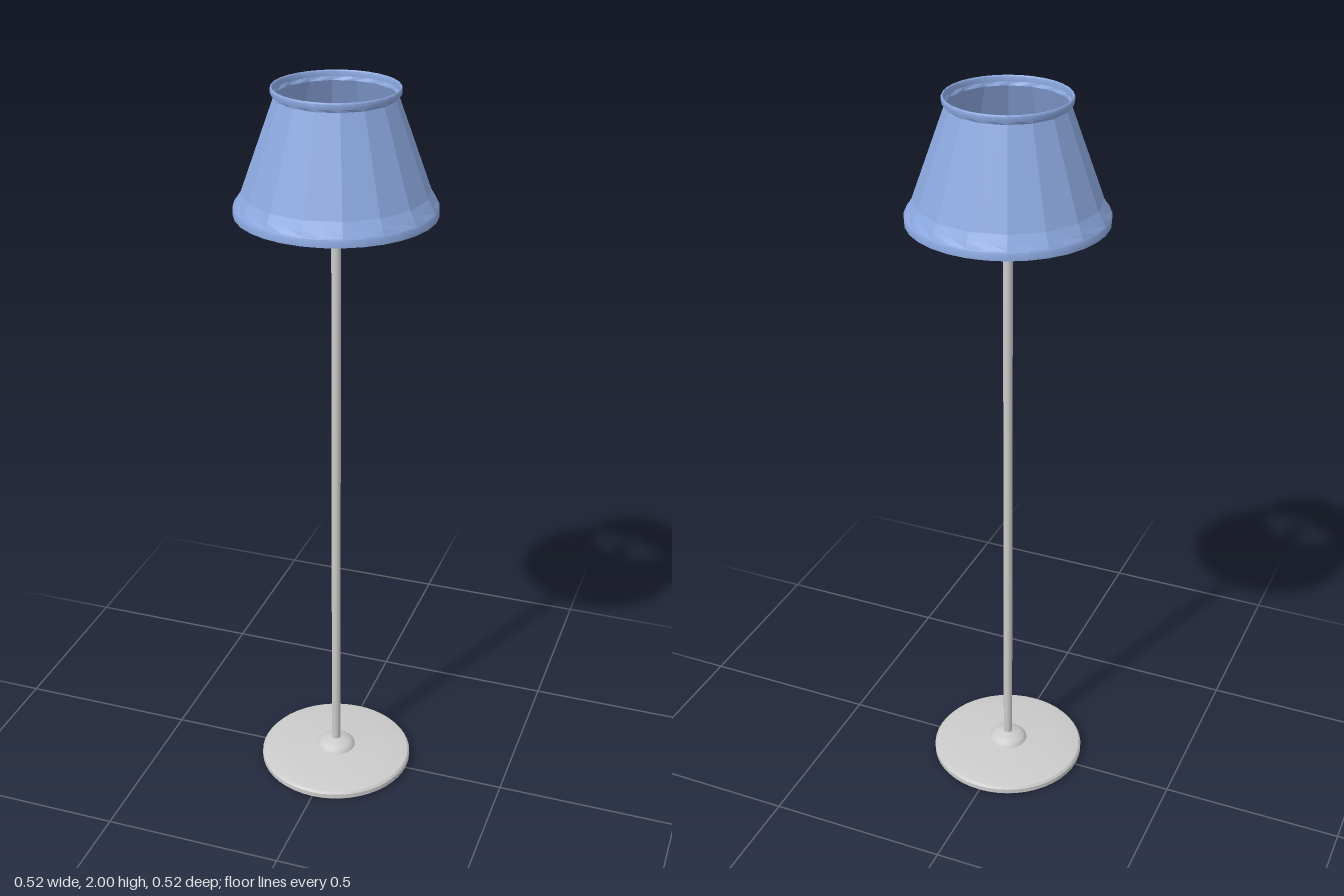
import * as THREE from 'three';
import { toCreasedNormals } from 'three/addons/utils/BufferGeometryUtils.js';

const metal = new THREE.MeshStandardMaterial({ color: 0xcccccc, side: THREE.DoubleSide });
const fabric = new THREE.MeshStandardMaterial({ color: 0x8ca8e0, side: THREE.DoubleSide });
const glow = new THREE.MeshStandardMaterial({ color: 0xe0a030 });

// Profile of [radius, height] pairs, listed so that the outside faces outwards
const lathe = (profile, segments) =>
  new THREE.LatheGeometry(profile.map(([r, y]) => new THREE.Vector2(r, y)), segments);

export function createModel() {
  const model = new THREE.Group();
  const add = (name, geometry, material, y = 0) => {
    const mesh = new THREE.Mesh(geometry, material);
    mesh.name = name;
    mesh.position.y = y;
    model.add(mesh);
    return mesh;
  };

  // Low disc with an open centre underneath, closed by the dome
  add('base', toCreasedNormals(lathe([
    [0.052, 0.03], [0.052, 0], [0.212, 0], [0.217, 0.005], [0.217, 0.018],
    [0.212, 0.024], [0.2, 0.027], [0.13, 0.031], [0.054, 0.036],
  ], 48), 0.6), metal);
  add('baseDome', lathe([
    [0.056, 0.033], [0.053, 0.042], [0.045, 0.05], [0.032, 0.056], [0.0125, 0.061],
  ], 32), metal);

  // Pole, bulb holder and bulb
  add('pole', new THREE.CylinderGeometry(0.0125, 0.0125, 1.74, 20), metal, 0.91);
  add('socket', toCreasedNormals(lathe([
    [0, 1.775], [0.019, 1.775], [0.021, 1.78], [0.021, 1.835], [0.018, 1.84], [0, 1.84],
  ], 20), 0.6), metal);
  add('bulb', toCreasedNormals(lathe([
    [0.012, 1.838], [0.015, 1.85], [0.023, 1.863], [0.029, 1.878], [0.03, 1.888],
    [0.027, 1.902], [0.018, 1.913], [0.008, 1.917], [0, 1.918],
  ], 24), 1), glow);

  // Shade: round hem and collar, with sixteen flat panels stretched between them
  const shade = lathe([
    [0.258, 1.68], [0.257, 1.703], [0.25, 1.718], [0.238, 1.738], [0.153, 1.975], [0.155, 1.984],
  ], 32);
  const p = shade.attributes.position;
  for (let i = 0; i < p.count; i++) {
    const column = Math.floor(i / 6), row = i % 6;
    if (column % 2 && row > 1 && row < 5) {
      const flatten = Math.cos(Math.PI / 16);
      p.setX(i, p.getX(i) * flatten);
      p.setZ(i, p.getZ(i) * flatten);
    }
  }
  add('shadePanels', toCreasedNormals(shade, 0.15), fabric);

  // Narrow bands finishing both openings
  add('shadeCollar', toCreasedNormals(lathe([
    [0.155, 1.984], [0.16, 1.984], [0.161, 1.988], [0.161, 1.997], [0.159, 2],
    [0.157, 2], [0.155, 1.997], [0.155, 1.984],
  ], 32), 0.6), fabric);
  add('shadeHem', toCreasedNormals(lathe([
    [0.252, 1.703], [0.252, 1.68], [0.259, 1.68], [0.259, 1.7], [0.257, 1.703],
  ], 32), 0.6), fabric);

  return model;
}
